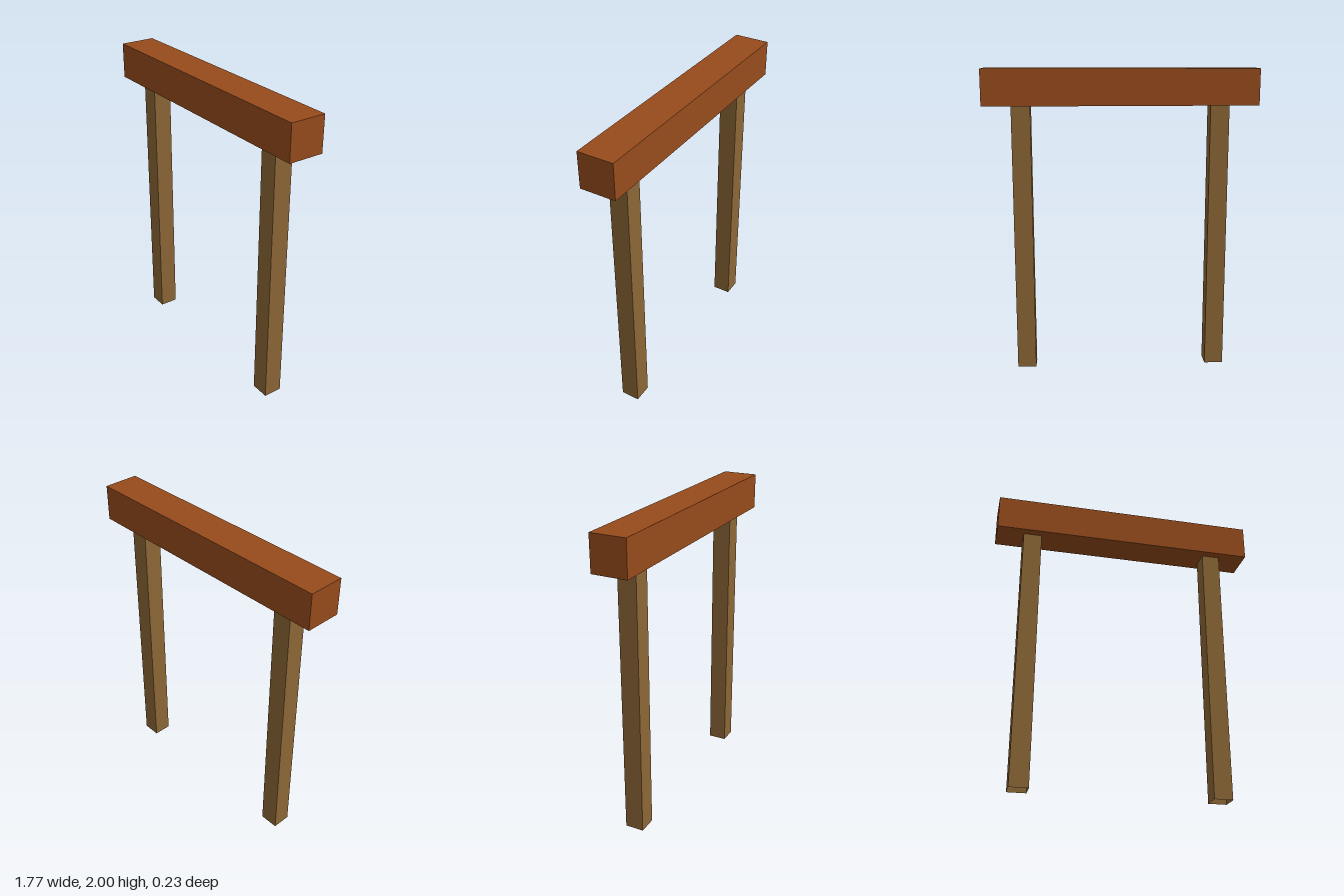
import * as THREE from 'three';

const BEAM = { length: 1.767, size: 0.233 };
const POST = { height: 1.767, width: 0.123, x: 0.64 };

export function createModel() {
  const model = new THREE.Group();
  model.name = 'postAndBeamFrame';

  const beamMaterial = new THREE.MeshStandardMaterial({ color: 0x964b1c, flatShading: true });
  const postMaterial = new THREE.MeshStandardMaterial({
    color: 0x8b6636, flatShading: true, side: THREE.DoubleSide,
  });

  // Square crossbeam resting on the posts
  const beam = new THREE.Mesh(new THREE.BoxGeometry(BEAM.length, BEAM.size, BEAM.size), beamMaterial);
  beam.name = 'crossbeam';
  beam.position.y = POST.height + BEAM.size / 2;
  model.add(beam);

  // Square posts, hollow and open at the ends
  const radius = POST.width / Math.SQRT2;
  const postGeometry = new THREE.CylinderGeometry(radius, radius, POST.height, 4, 1, true, Math.PI / 4);
  for (const [name, side] of [['leftPost', 1], ['rightPost', -1]]) {
    const post = new THREE.Mesh(postGeometry, postMaterial);
    post.name = name;
    post.position.set(side * POST.x, POST.height / 2, 0);
    model.add(post);
  }

  return model;
}
